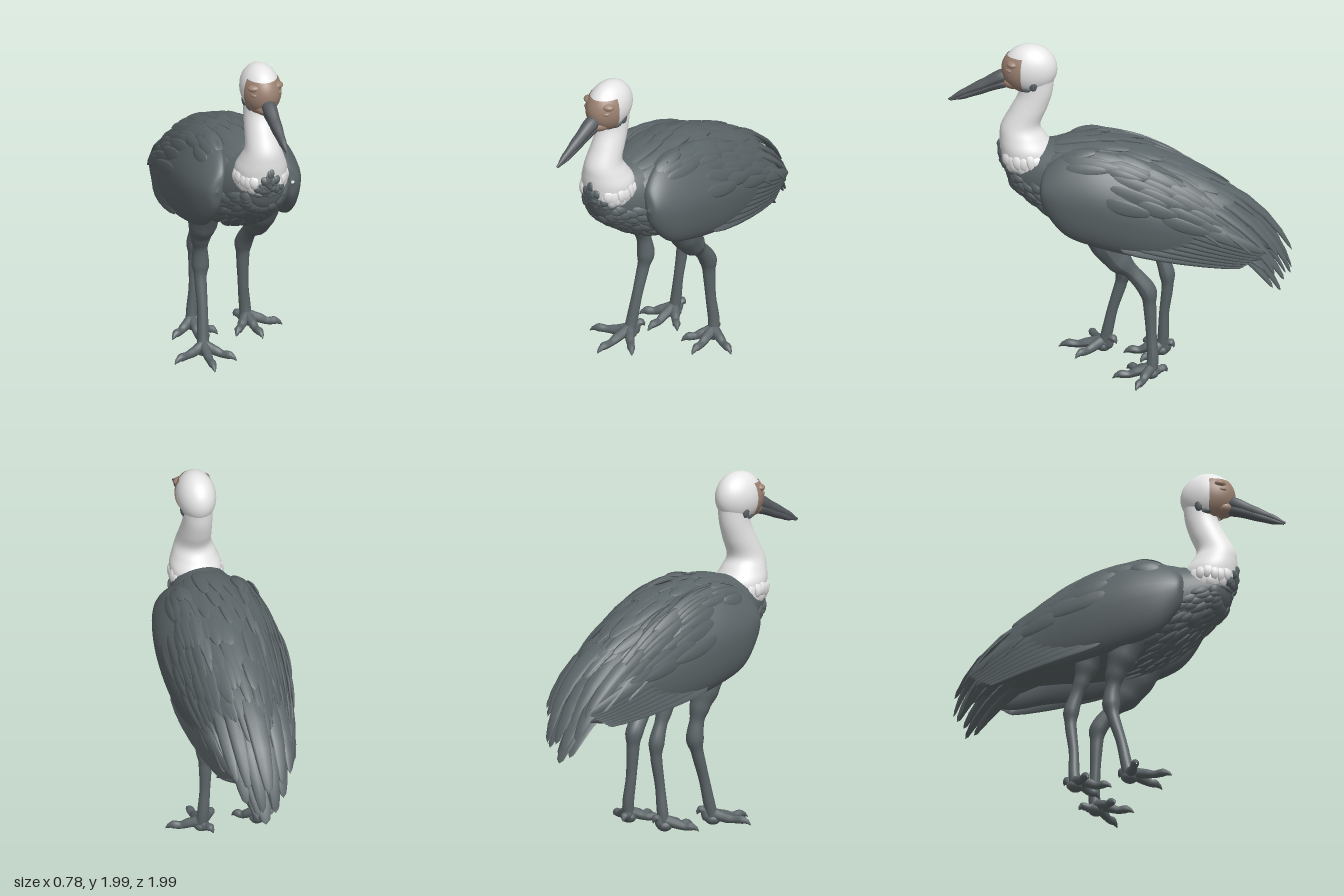
import * as THREE from 'three';
import { mergeGeometries } from 'three/addons/utils/BufferGeometryUtils.js';

const V = (x, y, z) => new THREE.Vector3(x, y, z);
const CX = 0.02; // the body sits slightly to its left

const mat = (name, color, side = THREE.FrontSide) => {
  const m = new THREE.MeshStandardMaterial({ color, side });
  m.name = name;
  return m;
};

// Loft of elliptical rings. Row: [position, centre, half height, half width, centre x, lean of the upper half]
// axis 'z': rings across z, listed back from the front; axis 'y': level rings, listed upwards.
function loft(rows, axis, nt = 48, na = 36) {
  const a1 = new THREE.CatmullRomCurve3(rows.map(r => V(r[0], r[1], r[2])), false, 'catmullrom');
  const a2 = new THREE.CatmullRomCurve3(rows.map(r => V(r[3], r[4] ?? CX, r[5] ?? 0)), false, 'catmullrom');
  const ring = t => [a1.getPoint(Math.min(t, 1)), a2.getPoint(Math.min(t, 1))];
  const at = (t, a) => {
    const [p, q] = ring(t), s = Math.sin(a);
    const x = q.y + q.x * Math.cos(a) + q.z * Math.max(0, s) ** 1.5;
    return axis === 'z' ? V(x, p.y + p.z * s, p.x) : V(x, p.x, p.y + p.z * s);
  };
  const normal = (t, a) => {
    const [p, q] = ring(t), c = Math.cos(a) * Math.abs(p.z), s = Math.sin(a) * Math.abs(q.x);
    return (axis === 'z' ? V(c, s, 0) : V(c, 0, s)).normalize();
  };
  const pos = [], idx = [];
  for (let i = 0; i <= nt; i++)
    for (let j = 0; j < na; j++) pos.push(...at(i / nt, j / na * Math.PI * 2).toArray());
  for (let i = 0; i < nt; i++)
    for (let j = 0; j < na; j++) {
      const k = (j + 1) % na, a = i * na + j, b = a + na, c = (i + 1) * na + k, d = i * na + k;
      idx.push(a, b, c, a, c, d);
    }
  const geo = new THREE.BufferGeometry();
  geo.setAttribute('position', new THREE.Float32BufferAttribute(pos, 3));
  geo.setIndex(idx);
  geo.computeVertexNormals();
  return { geo, at, normal };
}

// Tube whose radius changes along its path; each point is [x, y, z, radius]
function limb(pts, n = 24, sides = 12) {
  const curve = new THREE.CatmullRomCurve3(pts.map(p => V(p[0], p[1], p[2])));
  const geo = new THREE.TubeGeometry(curve, n, 1, sides);
  const pos = geo.attributes.position, v = V(0, 0, 0);
  for (let i = 0; i <= n; i++) {
    const c = curve.getPointAt(i / n), f = curve.getUtoTmapping(i / n) * (pts.length - 1);
    const k = Math.min(Math.floor(f), pts.length - 2);
    const r = THREE.MathUtils.lerp(pts[k][3], pts[k + 1][3], THREE.MathUtils.smoothstep(f - k, 0, 1));
    for (let j = 0; j <= sides; j++) {
      const m = i * (sides + 1) + j;
      v.fromBufferAttribute(pos, m).sub(c).multiplyScalar(r).add(c);
      pos.setXYZ(m, v.x, v.y, v.z);
    }
  }
  geo.computeVertexNormals();
  return geo;
}

// Flat blunt feather from base to tip, arched along its normal
function feather(base, tip, normal, width, arch = 0.01, thick = 0.01) {
  const y = tip.clone().sub(base), len = y.length();
  y.normalize();
  const x = y.clone().cross(normal).normalize(), z = x.clone().cross(y);
  const geo = new THREE.SphereGeometry(1, 8, 8), p = geo.attributes.position;
  for (let i = 0; i < p.count; i++) {
    const u = p.getY(i), blunt = Math.max(0.05, 1 - u * u) ** -0.15;
    p.setXYZ(i, p.getX(i) * width * (1 - 0.2 * u) * blunt, u * len / 2, p.getZ(i) * thick + arch * (1 - u * u));
  }
  geo.applyMatrix4(new THREE.Matrix4().makeBasis(x, y, z).setPosition(base.clone().add(tip).multiplyScalar(0.5)));
  geo.computeVertexNormals();
  return geo;
}

export function createModel() {
  const root = new THREE.Group();
  root.name = 'wadingBird';
  const grey = mat('slateGrey', 0x5c6568), white = mat('white', 0xececec);
  const skin = mat('brownSkin', 0x9c8272, THREE.DoubleSide), horn = mat('hornGrey', 0x575c60);
  const add = (name, geo, m, parent = root) => {
    const mesh = new THREE.Mesh(geo, m);
    mesh.name = name;
    parent.add(mesh);
    return mesh;
  };
  let seed = 7;
  const rnd = () => (seed = (seed * 16807) % 2147483647) / 2147483647;

  // Rows of overlapping feathers laid on a lofted surface
  const cover = (s, t0, t1, rows, a0, a1, cols, dt, width, lift = 0.006) => {
    const list = [];
    for (let i = 0; i < rows; i++)
      for (let j = 0; j < cols; j++) {
        const t = t0 + (t1 - t0) * i / Math.max(1, rows - 1) + (rnd() - 0.5) * 0.03;
        const a = a0 + (a1 - a0) * (j + 0.25 + (i % 2) * 0.5) / cols + (rnd() - 0.5) * 0.05;
        const n = s.normal(t, a), e = t + dt * (0.85 + rnd() * 0.4);
        list.push(feather(s.at(t, a).addScaledVector(n, -0.004),
          s.at(e, a).addScaledVector(n, lift + rnd() * 0.008), n, width * (0.85 + rnd() * 0.3)));
      }
    return mergeGeometries(list);
  };

  // Torso
  const torso = loft([
    [0.68, 1.26, 0.01, 0.01], [0.64, 1.24, 0.1, 0.1], [0.54, 1.22, 0.16, 0.15], [0.4, 1.18, 0.23, 0.21],
    [0.2, 1.14, 0.29, 0.27], [0, 1.11, 0.305, 0.285], [-0.2, 1.08, 0.285, 0.265], [-0.4, 1.035, 0.225, 0.23],
    [-0.6, 0.985, 0.18, 0.17], [-0.75, 0.9, 0.12, 0.11], [-0.87, 0.78, 0.01, 0.01]], 'z');
  add('torso', torso.geo, grey);
  add('backFeathers', cover(torso, 0.3, 0.78, 8, 0.5, Math.PI - 0.5, 8, 0.15, 0.042, 0.012), grey);
  add('breastFeathers', cover(torso, 0.1, 0.42, 9, Math.PI + 0.1, Math.PI * 2 - 0.1, 12, 0.07, 0.024), grey);

  // Folded wings
  for (const s of [1, -1]) {
    const wing = new THREE.Group();
    wing.name = s > 0 ? 'leftWing' : 'rightWing';
    root.add(wing);
    const row = (z, y, hh, hw, x) => [z, y, hh, hw, CX + s * x, -s * hh * 0.36];
    const surf = loft([
      row(0.45, 1.18, 0.01, 0.01, 0.23), row(0.42, 1.18, 0.12, 0.05, 0.235), row(0.3, 1.155, 0.235, 0.08, 0.25),
      row(0.12, 1.135, 0.28, 0.095, 0.26), row(-0.1, 1.085, 0.28, 0.095, 0.258), row(-0.3, 1.025, 0.245, 0.085, 0.24),
      row(-0.5, 0.955, 0.185, 0.07, 0.21), row(-0.68, 0.86, 0.12, 0.05, 0.17), row(-0.82, 0.77, 0.01, 0.01, 0.14)], 'z');
    add('wingBody', surf.geo, grey, wing);
    const ang = a => s > 0 ? a : Math.PI - a;
    add('wingCoverts', cover(surf, 0.42, 0.78, 5, ang(0.1), ang(1.7), 6, 0.17, 0.04, 0.01), grey, wing);
    add('shoulderCoverts', cover(surf, 0.24, 0.4, 3, ang(0.75), ang(1.8), 4, 0.14, 0.035, 0.004), grey, wing);

    // Long flight feathers along the lower and rear edge
    const flight = [];
    for (let i = 0; i < 8; i++) {
      const f = i / 7;
      flight.push(feather(V(CX + s * (0.31 - 0.02 * f), 0.87 + 0.2 * f, -0.02 - 0.3 * f),
        V(CX + s * (0.2 - 0.03 * f), 0.735 + 0.08 * f, -0.73 - 0.13 * f),
        V(s, 0.35, 0), 0.038, 0.03));
    }
    add('flightFeathers', mergeGeometries(flight), grey, wing);
  }

  // Drooping tail: start, tip, width and arch of each feather, mirrored across the middle
  const plumes = [
    [0, 1.23, -0.34, 0, 0.77, -0.99, 0.06, 0.1], [0.05, 1.12, -0.5, 0.035, 0.64, -0.985, 0.05, 0.085],
    [0.09, 1.22, -0.32, 0.1, 0.77, -0.92, 0.048, 0.085], [0.1, 1.05, -0.45, 0.11, 0.66, -0.9, 0.05, 0.07],
    [0.14, 1.2, -0.28, 0.16, 0.8, -0.87, 0.045, 0.07], [0.18, 1.15, -0.25, 0.21, 0.82, -0.78, 0.04, 0.06],
    [0.22, 1.14, -0.15, 0.25, 0.87, -0.63, 0.04, 0.05], [0.04, 1.25, -0.3, 0.05, 1, -0.78, 0.05, 0.045],
    [0.05, 1, -0.5, 0.05, 0.6, -0.95, 0.055, 0.06], [0, 0.92, -0.5, 0, 0.51, -0.925, 0.065, 0.05],
    [0.05, 0.9, -0.45, 0.045, 0.545, -0.885, 0.05, 0.05], [0.1, 0.9, -0.4, 0.1, 0.68, -0.84, 0.05, 0.05]];
  const tail = [];
  for (const [x, y, z, tx, ty, tz, w, arch] of plumes)
    for (const s of x ? [1, -1] : [1])
      tail.push(feather(V(CX + s * x, y, z), V(CX + s * tx, ty, tz), V(s * x * 3, 1, -0.5), w, arch, 0.016));
  add('tailFeathers', mergeGeometries(tail), grey);

  // Neck with a ragged collar
  const neck = loft([
    [1.12, 0.48, 0.02, 0.02], [1.2, 0.51, 0.12, 0.1], [1.28, 0.53, 0.155, 0.14], [1.36, 0.542, 0.157, 0.15],
    [1.43, 0.567, 0.135, 0.127], [1.5, 0.58, 0.113, 0.103], [1.6, 0.535, 0.106, 0.092], [1.7, 0.495, 0.097, 0.085],
    [1.8, 0.485, 0.1, 0.085]], 'y');
  add('neck', neck.geo, white);
  add('collarFeathers', mergeGeometries([
    cover(neck, 0.36, 0.3, 2, -0.45, 1.05, 6, -0.14, 0.026, 0.006),
    cover(neck, 0.36, 0.3, 2, 2.1, 3.6, 6, -0.14, 0.026, 0.006)]), white);
  add('throatFeathers', mergeGeometries([
    cover(neck, 0.28, 0.22, 2, 0.95, 2.2, 6, -0.09, 0.026, 0.008),
    cover(neck, 0.2, 0.17, 2, 0.1, 3.04, 11, -0.07, 0.026, 0.016),
    cover(neck, 0.36, 0.31, 2, 1.25, 1.9, 4, -0.1, 0.02, 0.002),
    cover(neck, 0.45, 0.4, 2, 1.47, 1.68, 2, -0.1, 0.013, 0)]), grey);

  // Head, bare face and ear patches
  const ball = (name, m, c, r, args = []) => {
    const g = new THREE.SphereGeometry(1, 32, 24, ...args);
    return add(name, g.scale(...r).translate(...c), m);
  };
  ball('head', white, [CX, 1.852, 0.525], [0.113, 0.146, 0.157]);
  ball('face', skin, [CX, 1.846, 0.532], [0.118, 0.146, 0.16], [0.25, Math.PI - 0.5, 0.92, 1.75]);
  for (const s of [1, -1]) {
    ball('eyelid', skin, [CX + s * 0.066, 1.86, 0.63], [0.028, 0.014, 0.032]);
    ball('brow', skin, [CX + s * 0.058, 1.897, 0.62], [0.05, 0.024, 0.037]);
    ball('earPatch', grey, [CX + s * 0.083, 1.78, 0.5], [0.018, 0.042, 0.025]);
    ball('cheekPatch', grey, [CX + s * 0.066, 1.743, 0.535], [0.018, 0.02, 0.042]);
  }
  ball('chin', skin, [CX, 1.765, 0.615], [0.065, 0.045, 0.075]);

  // Bill, with the lower half tucked under the upper one
  add('upperBill', limb([[CX, 1.81, 0.62, 0.03], [CX, 1.79, 0.69, 0.043], [CX, 1.735, 0.8, 0.033],
    [CX, 1.682, 0.91, 0.021], [CX, 1.634, 0.998, 0.006]]), horn);
  add('lowerBill', limb([[CX, 1.755, 0.62, 0.02], [CX, 1.753, 0.69, 0.036], [CX, 1.71, 0.8, 0.03],
    [CX, 1.665, 0.9, 0.021], [CX, 1.63, 0.99, 0.006]]), horn);

  // Legs: path from thigh to foot, then toe tips
  const legs = [
    ['rightFrontLeg', [[-0.165, 0.98, 0.13, 0.1], [-0.165, 0.82, 0.07, 0.085], [-0.165, 0.72, 0.03, 0.06], [-0.16, 0.64, 0.012, 0.043],
      [-0.155, 0.53, 0, 0.052], [-0.16, 0.45, 0.015, 0.036], [-0.165, 0.28, 0.065, 0.031], [-0.175, 0.12, 0.1, 0.034], [-0.18, 0.04, 0.12, 0.036]],
    [[-0.2, 0.02, 0.38], [-0.39, 0.03, 0.22], [-0.03, 0.02, 0.27], [-0.13, 0.08, 0.04]]],
    ['leftLeg', [[0.195, 1, 0.14, 0.11], [0.195, 0.85, 0.07, 0.098], [0.193, 0.74, 0.0, 0.076], [0.18, 0.66, -0.08, 0.045],
      [0.17, 0.54, -0.17, 0.052], [0.17, 0.46, -0.18, 0.038], [0.175, 0.28, -0.19, 0.031], [0.19, 0.12, -0.2, 0.034], [0.195, 0.04, -0.19, 0.036]],
    [[0.22, 0.015, 0.03], [0.39, 0.015, -0.12], [0.08, 0.02, -0.04], [0.15, 0.04, -0.28]]],
    ['rightRearLeg', [[-0.1, 0.95, -0.1, 0.09], [-0.1, 0.82, -0.16, 0.068], [-0.1, 0.73, -0.19, 0.048], [-0.1, 0.65, -0.22, 0.038],
      [-0.1, 0.54, -0.255, 0.046], [-0.1, 0.46, -0.258, 0.034], [-0.11, 0.28, -0.237, 0.029], [-0.125, 0.12, -0.23, 0.033], [-0.13, 0.05, -0.22, 0.035]],
    [[-0.14, 0.02, 0], [-0.29, 0.03, -0.1], [-0.01, 0.02, -0.11], [-0.11, 0.08, -0.295]]]];
  for (const [name, path, toes] of legs) {
    const leg = new THREE.Group();
    leg.name = name;
    root.add(leg);
    add('shank', limb(path, 48, 14), grey, leg);
    const [fx, fy, fz] = path[path.length - 1];
    add('footPad', new THREE.SphereGeometry(0.046, 14, 10).scale(1, 0.75, 1).translate(fx, fy, fz), grey, leg);
    for (const [x, y, z] of toes) {
      const at = (f, h, r) => [fx + (x - fx) * f, h, fz + (z - fz) * f, r];
      add('toe', limb([at(0, fy + 0.03, 0.034), at(0.35, fy + 0.01, 0.028), at(0.58, y + 0.016, 0.022),
        at(0.78, y + 0.018, 0.024), at(0.9, y + 0.01, 0.014), at(1, y - 0.008, 0.003)], 20, 10), grey, leg);
    }
  }
  return root;
}
